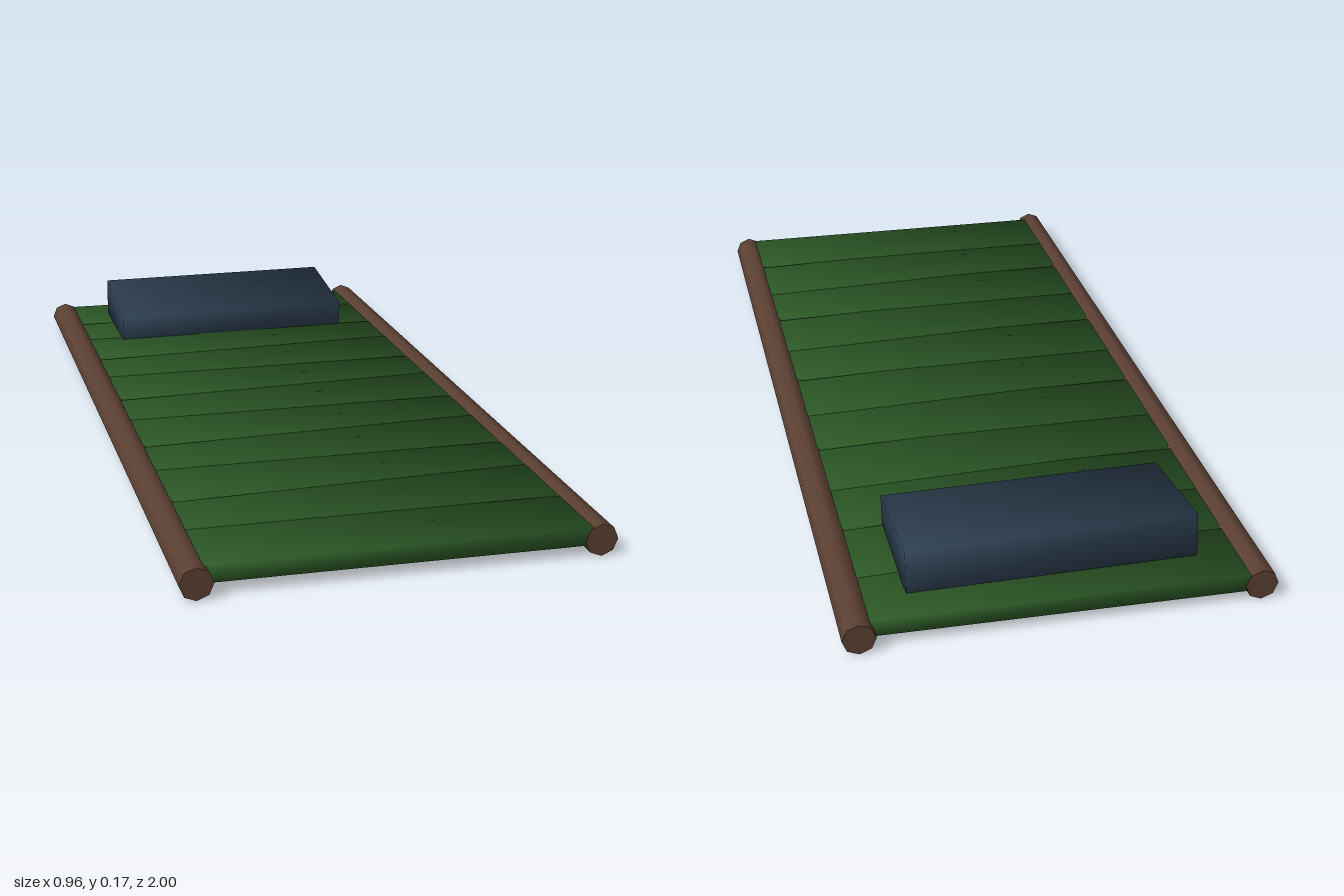
import * as THREE from 'three';
import { mergeVertices } from 'three/addons/utils/BufferGeometryUtils.js';

const mat = (name, color) => {
  const m = new THREE.MeshStandardMaterial({ color });
  m.name = name;
  return m;
};

// Box with shared corners, so its shading is smooth from face to face
function softBox(w, h, d) {
  const box = new THREE.BoxGeometry(w, h, d);
  box.deleteAttribute('uv');
  box.deleteAttribute('normal');
  const geo = mergeVertices(box);
  const p = geo.attributes.position;
  const normals = new Float32Array(p.count * 3);
  for (let i = 0; i < p.count; i++) {
    new THREE.Vector3(Math.sign(p.getX(i)), Math.sign(p.getY(i)), Math.sign(p.getZ(i)))
      .normalize().toArray(normals, i * 3);
  }
  geo.setAttribute('normal', new THREE.BufferAttribute(normals, 3));
  return geo;
}

export function createModel() {
  const model = new THREE.Group();
  model.name = 'leafCot';
  const wood = mat('brown wood', 0x5c4033);
  const leaf = mat('leaf green', 0x2d5a27);
  const cloth = mat('dark blue cloth', 0x2c3e50);

  const add = (name, geo, material, x, y, z) => {
    const mesh = new THREE.Mesh(geo, material);
    mesh.name = name;
    mesh.position.set(x, y, z);
    model.add(mesh);
    return mesh;
  };

  // Eight-sided poles along both sides
  const pole = new THREE.CylinderGeometry(0.037, 0.037, 2, 8).rotateX(Math.PI / 2);
  add('leftPole', pole, wood, 0.443, 0.037, 0);
  add('rightPole', pole, wood, -0.443, 0.037, 0);

  // Eleven overlapping leaf slats, turned alternately to either side
  const slat = softBox(0.86, 0.04, 0.187);
  for (let i = 0; i < 11; i++) {
    const s = add('leafSlat' + (i + 1), slat, leaf, 0, 0.043 + i * 0.0003, (i - 5) * 0.1786);
    s.rotation.y = i % 2 ? 0.025 : -0.025;
  }

  // Pillow, raised at the head end
  const pillow = add('pillow', softBox(0.65, 0.1, 0.286), cloth, 0, 0.1, -0.758);
  pillow.rotation.x = 0.134;

  return model;
}
